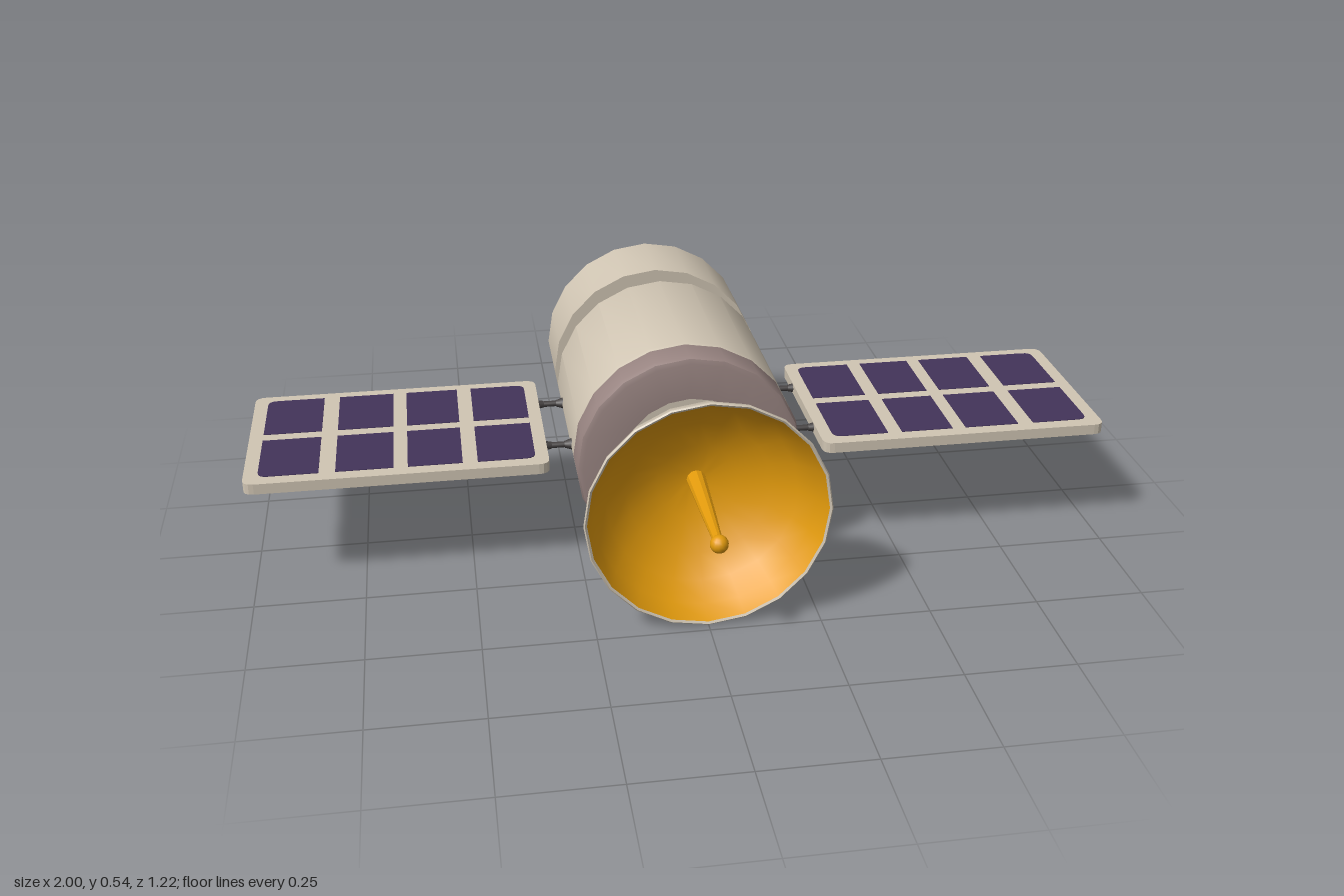
import * as THREE from 'three';
import { toCreasedNormals } from 'three/addons/utils/BufferGeometryUtils.js';

const mat = (name, color, side = THREE.FrontSide) => {
  const m = new THREE.MeshStandardMaterial({ color, side });
  m.name = name;
  return m;
};

export function createModel() {
  const cream = mat('cream', 0xd0c5b3);
  const mauve = mat('mauve', 0x988481);
  const dark = mat('charcoal', 0x454141);
  const purple = mat('solar purple', 0x43345a);
  const gold = mat('gold', 0xe39b0c);

  const root = new THREE.Group();
  root.name = 'satellite';
  const axis = new THREE.Group(); // everything sits around the long z axis
  axis.name = 'spacecraft';
  axis.position.y = 0.28;
  root.add(axis);

  const add = (name, geometry, material, parent = axis) => {
    const mesh = new THREE.Mesh(geometry, material);
    mesh.name = name;
    parent.add(mesh);
    return mesh;
  };
  // Profile of [radius, z] pairs turned around the z axis, listed back to front on the outside
  const turned = (name, profile, material, crease = 0.5, sides = 20) => {
    const lathe = new THREE.LatheGeometry(profile.map(([r, z]) => new THREE.Vector2(r, z)), sides);
    lathe.rotateX(Math.PI / 2);
    return add(name, toCreasedNormals(lathe, crease), material);
  };

  // Main module
  turned('mainBody', [[0, -0.272], [0.24, -0.272], [0.253, -0.268], [0.26, -0.255],
    [0.26, 0.128], [0.257, 0.136], [0.25, 0.138]], cream);
  turned('frontBand', [[0.25, 0.135], [0.257, 0.137], [0.26, 0.144], [0.26, 0.205],
    [0.256, 0.216], [0.245, 0.22], [0.16, 0.22]], mauve);
  turned('frontHatch', [[0.16, 0.22], [0, 0.22]], cream);

  // Flared neck and rear module
  turned('neck', [[0.165, -0.333], [0.152, -0.322], [0.125, -0.316], [0.108, -0.308],
    [0.098, -0.295], [0.095, -0.27]], dark, 0.9);
  turned('rearBody', [[0.26, -0.53], [0.26, -0.333], [0, -0.333]], cream);
  turned('rearCone', [[0.085, -0.61], [0.135, -0.61], [0.26, -0.53]], mauve);
  turned('rearNozzle', [[0, -0.609], [0.085, -0.609]], dark);

  // Dish antenna: outer shell, thin rim and gold bowl
  const bowl = [[0, 0.292], [0.035, 0.295], [0.094, 0.308], [0.166, 0.341],
    [0.218, 0.38], [0.251, 0.426], [0.27, 0.47]];
  turned('dishShell', [...bowl, [0.272, 0.478], [0.269, 0.481], [0.264, 0.478]], cream, 0.8);
  turned('dishBowl', bowl.map(([r, z]) => [r * 0.978, z + 0.008]).reverse(), gold, 0.8);
  turned('dishMast', [[0.055, 0.219], [0.055, 0.227], [0.012, 0.228], [0.012, 0.298]], dark, 0.5, 12);
  turned('feedHorn', [[0.022, 0.3], [0.016, 0.46], [0.01, 0.59]], gold, 0.5, 12);
  add('feedTip', new THREE.SphereGeometry(0.02, 14, 10), gold).position.z = 0.593;

  // Rectangle in x and z with a radius for each corner, in order (x0,z0) (x1,z0) (x1,z1) (x0,z1)
  const plate = (x0, z0, x1, z1, radii, height) => {
    const s = new THREE.Shape();
    const [a, b, c, d] = radii;
    s.moveTo(x0 + a, z0);
    s.lineTo(x1 - b, z0);
    if (b) s.quadraticCurveTo(x1, z0, x1, z0 + b);
    s.lineTo(x1, z1 - c);
    if (c) s.quadraticCurveTo(x1, z1, x1 - c, z1);
    s.lineTo(x0 + d, z1);
    if (d) s.quadraticCurveTo(x0, z1, x0, z1 - d);
    s.lineTo(x0, z0 + a);
    if (a) s.quadraticCurveTo(x0, z0, x0 + a, z0);
    const g = new THREE.ExtrudeGeometry(s, { depth: height, bevelEnabled: false, curveSegments: 4 });
    g.rotateX(Math.PI / 2);
    return g.translate(0, height / 2, 0);
  };

  // Solar wings: the wing is symmetric along its length, so the right one is turned by position
  const columns = [[0.348, 0.479], [0.513, 0.636], [0.668, 0.797], [0.834, 0.968]];
  const rows = [[-0.227, -0.045], [-0.013, 0.168]];
  for (const side of [1, -1]) {
    const wing = new THREE.Group();
    wing.name = side > 0 ? 'leftWing' : 'rightWing';
    axis.add(wing);
    const span = (a, b) => (side > 0 ? [a, b] : [-b, -a]);

    const [f0, f1] = span(0.318, 1);
    add('panelFrame', plate(f0, -0.255, f1, 0.201, [0.025, 0.025, 0.025, 0.025], 0.025), cream, wing);

    columns.forEach(([c0, c1], i) => rows.forEach(([z0, z1], j) => {
      const [x0, x1] = span(c0, c1);
      const low = (side > 0 ? i === 0 : i === 3) ? 0.022 : 0;
      const high = (side > 0 ? i === 3 : i === 0) ? 0.022 : 0;
      const radii = j === 0 ? [low, high, 0, 0] : [0, 0, high, low];
      for (const face of [1, -1]) {
        add('solarCell', plate(x0, z0, x1, z1, radii, 0.003), purple, wing).position.y = face * 0.0125;
      }
    }));

    // Two struts, each with a flared foot on the hull
    for (const z of [-0.14, 0.085]) {
      const rod = add('strut', new THREE.CylinderGeometry(0.007, 0.007, 0.08, 10), dark, wing);
      rod.rotation.z = Math.PI / 2;
      rod.position.set(side * 0.29, 0, z);
      const foot = add('strutFoot', new THREE.CylinderGeometry(0.008, 0.014, 0.018, 10), dark, wing);
      foot.rotation.z = -side * Math.PI / 2;
      foot.position.set(side * 0.266, 0, z);
      const collar = add('strutCollar', new THREE.CylinderGeometry(0.011, 0.008, 0.014, 10), dark, wing);
      collar.rotation.z = -side * Math.PI / 2;
      collar.position.set(side * 0.312, 0, z);
    }
  }
  return root;
}
